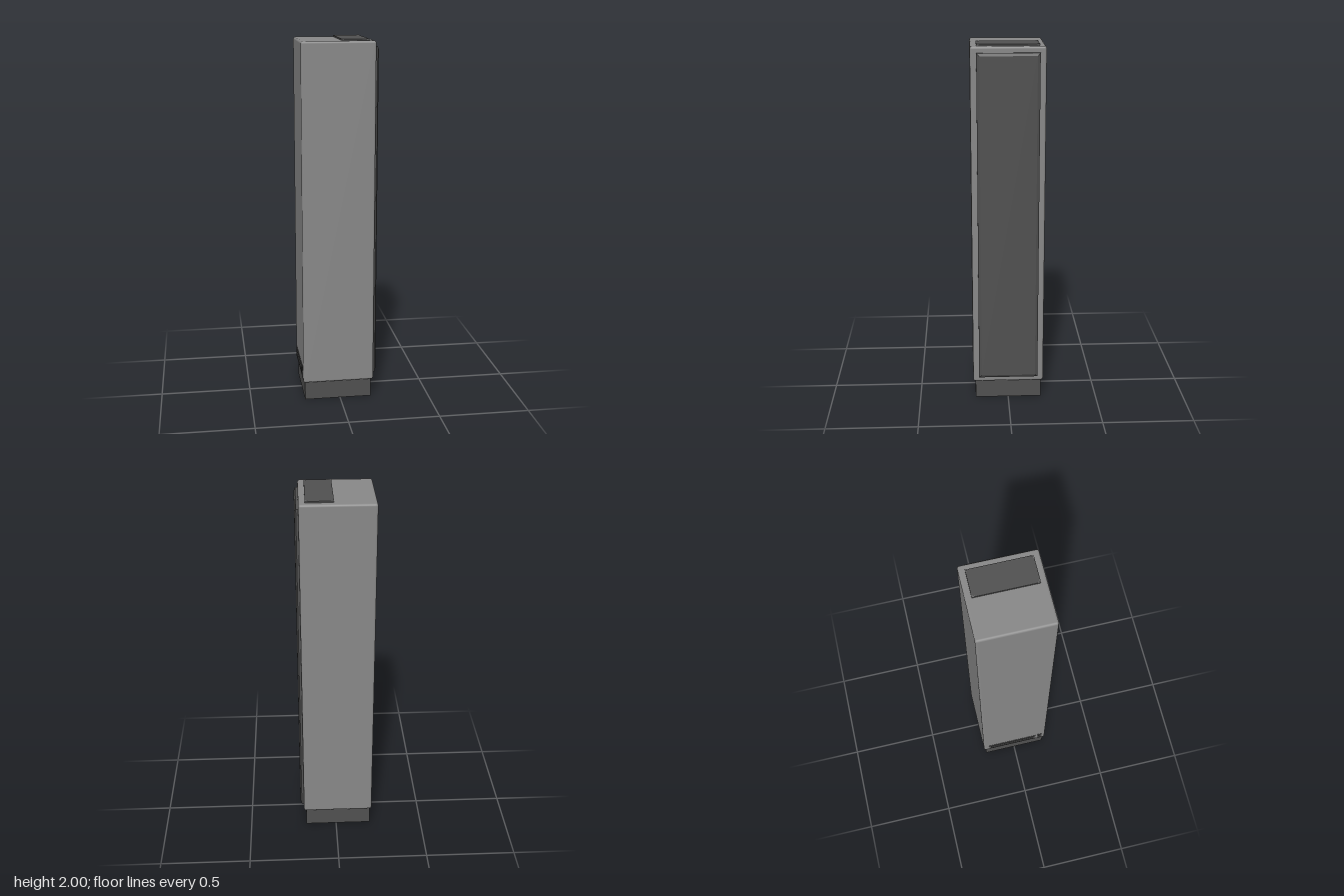
import * as THREE from 'three';
import { RoundedBoxGeometry } from 'three/addons/geometries/RoundedBoxGeometry.js';

const casing = new THREE.MeshStandardMaterial({ color: 0x888888 });
casing.name = 'casing grey';
const dark = new THREE.MeshStandardMaterial({ color: 0x505050 });
dark.name = 'dark grey';
const slotDark = new THREE.MeshStandardMaterial({ color: 0x383838 });
slotDark.name = 'slot charcoal';

export function createModel() {
  const model = new THREE.Group();
  model.name = 'towerCabinet';

  const add = (name, geometry, material, x = 0, y = 0, z = 0) => {
    const mesh = new THREE.Mesh(geometry, material);
    mesh.name = name;
    mesh.position.set(x, y, z);
    model.add(mesh);
    return mesh;
  };
  // Box given by its limits on each axis
  const box = (name, material, [x0, x1], [y0, y1], [z0, z1]) =>
    add(name, new THREE.BoxGeometry(x1 - x0, y1 - y0, z1 - z0), material,
      (x0 + x1) / 2, (y0 + y1) / 2, (z0 + z1) / 2);

  // Plinth and main casing
  box('plinth', dark, [-0.198, 0.175], [0, 0.11], [-0.185, 0.185]);
  add('casing', new RoundedBoxGeometry(0.396, 1.887, 0.396, 3, 0.012), casing, -0.01, 1.0475, 0);

  // Tall side panel with a bevelled outer edge
  const w = 0.15, h = 0.897;
  const outline = new THREE.Shape([
    new THREE.Vector2(-w, -h), new THREE.Vector2(w, -h),
    new THREE.Vector2(w, h), new THREE.Vector2(-w, h),
  ]);
  const panel = new THREE.ExtrudeGeometry(outline, {
    depth: 0.016, bevelEnabled: true, bevelThickness: 0.008, bevelSize: 0.015, bevelSegments: 1,
  });
  panel.rotateY(Math.PI / 2);
  add('sidePanel', panel, dark, 0.184, 1.047, 0);

  // Top plate with a small bracket at each corner
  box('topPlate', dark, [0.01, 0.155], [1.988, 1.999], [-0.165, 0.165]);
  for (const sx of [-1, 1]) {
    for (const sz of [-1, 1]) {
      const x = 0.0825 + sx * 0.0725, z = sz * 0.165;
      const span = (c, s, length) => [Math.min(c, c - s * length), Math.max(c, c - s * length)];
      box('cornerBracketAcross', casing, span(x, sx, 0.014), [1.99, 2], span(z, sz, 0.005));
      box('cornerBracketAlong', casing, span(x, sx, 0.005), [1.99, 2], span(z - sz * 0.005, sz, 0.009));
    }
  }

  // Connector slot and switch low on the opposite side
  box('connectorSlot', dark, [-0.21, -0.206], [0.125, 0.185], [-0.165, 0.135]);
  box('connectorOpening', slotDark, [-0.211, -0.208], [0.135, 0.172], [-0.155, 0.125]);
  box('switchPlate', dark, [-0.21, -0.206], [0.12, 0.195], [0.147, 0.175]);
  box('switchOpening', slotDark, [-0.211, -0.208], [0.13, 0.185], [0.154, 0.168]);

  return model;
}
